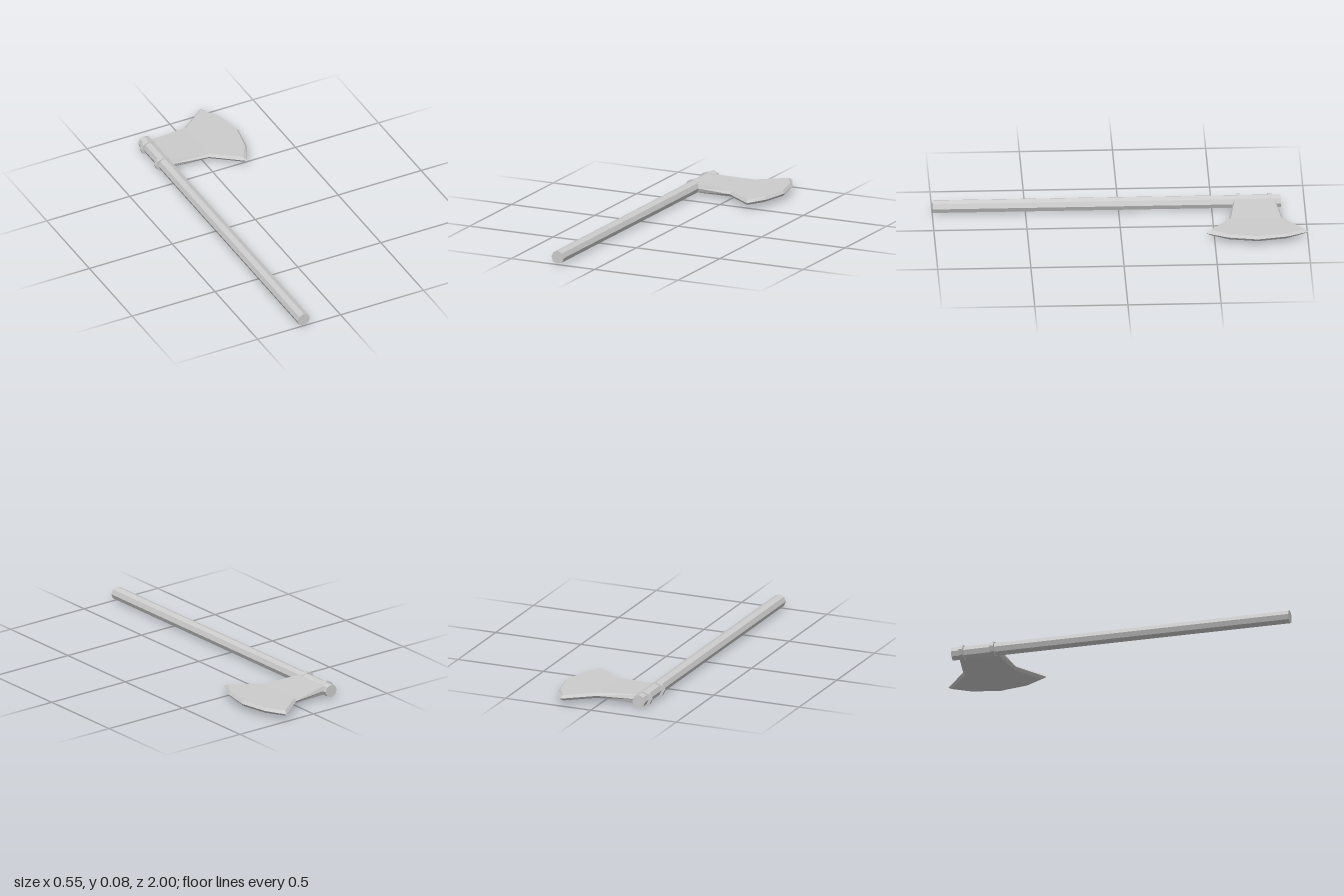
import * as THREE from 'three';

const material = new THREE.MeshStandardMaterial({ color: 0xcccccc, flatShading: true });
const MID_Y = 0.042;

// Eight-sided bar lying along z, with a corner pointing sideways
function octagonBar(name, x, rx, ry, z0, z1) {
  const geo = new THREE.CylinderGeometry(1, 1, z1 - z0, 8);
  geo.rotateX(Math.PI / 2);
  geo.scale(rx, ry, 1);
  const mesh = new THREE.Mesh(geo, material);
  mesh.name = name;
  mesh.position.set(x, MID_Y, (z0 + z1) / 2);
  return mesh;
}

// Blade: stations from the handle to the nose, mirrored in y and z
function bladeGeometry() {
  // rim x, rim half width, face x, face half width, half thickness
  const stations = [
    [-0.215, 0.113, -0.215, 0.103, 0.0265],
    [0.02, 0.147, 0.024, 0.135, 0.015],
    [0.185, 0.273, 0.174, 0.25, 0.015],
    [0.243, 0.158, 0.232, 0.152, 0.015],
    [0.274, 0, 0.262, 0, 0.015],
  ];
  const pos = [];
  const quad = (corners, flip) => {
    const [a, b, c, d] = flip ? [...corners].reverse() : corners;
    pos.push(...a, ...b, ...c, ...a, ...c, ...d);
  };
  for (const up of [1, -1]) {
    const rim = (s, side) => [s[0], 0, side * s[1]];
    const face = (s, side) => [s[2], up * s[4], side * s[3]];
    for (let i = 0; i < stations.length - 1; i++) {
      const s = stations[i], n = stations[i + 1];
      // flat cheek
      quad([face(s, -1), face(s, 1), face(n, 1), face(n, -1)], up < 0);
      // bevels from the rim up to the cheek
      for (const side of [1, -1]) {
        quad([rim(s, side), rim(n, side), face(n, side), face(s, side)], up * side < 0);
      }
    }
    // end against the handle
    const s = stations[0];
    quad([rim(s, -1), rim(s, 1), face(s, 1), face(s, -1)], up < 0);
  }
  const geo = new THREE.BufferGeometry();
  geo.setAttribute('position', new THREE.Float32BufferAttribute(pos, 3));
  geo.computeVertexNormals();
  return geo;
}

export function createModel() {
  const axe = new THREE.Group();
  axe.name = 'axe';

  axe.add(octagonBar('handle', -0.222, 0.0375, 0.036, -0.87, 1));

  // Two collars that hold the head
  axe.add(octagonBar('rearCollar', -0.229, 0.047, 0.04, -0.823, -0.802));
  axe.add(octagonBar('frontCollar', -0.229, 0.047, 0.04, -0.653, -0.632));

  const blade = new THREE.Mesh(bladeGeometry(), material);
  blade.name = 'blade';
  blade.position.set(0, MID_Y, -0.728);
  axe.add(blade);

  return axe;
}
